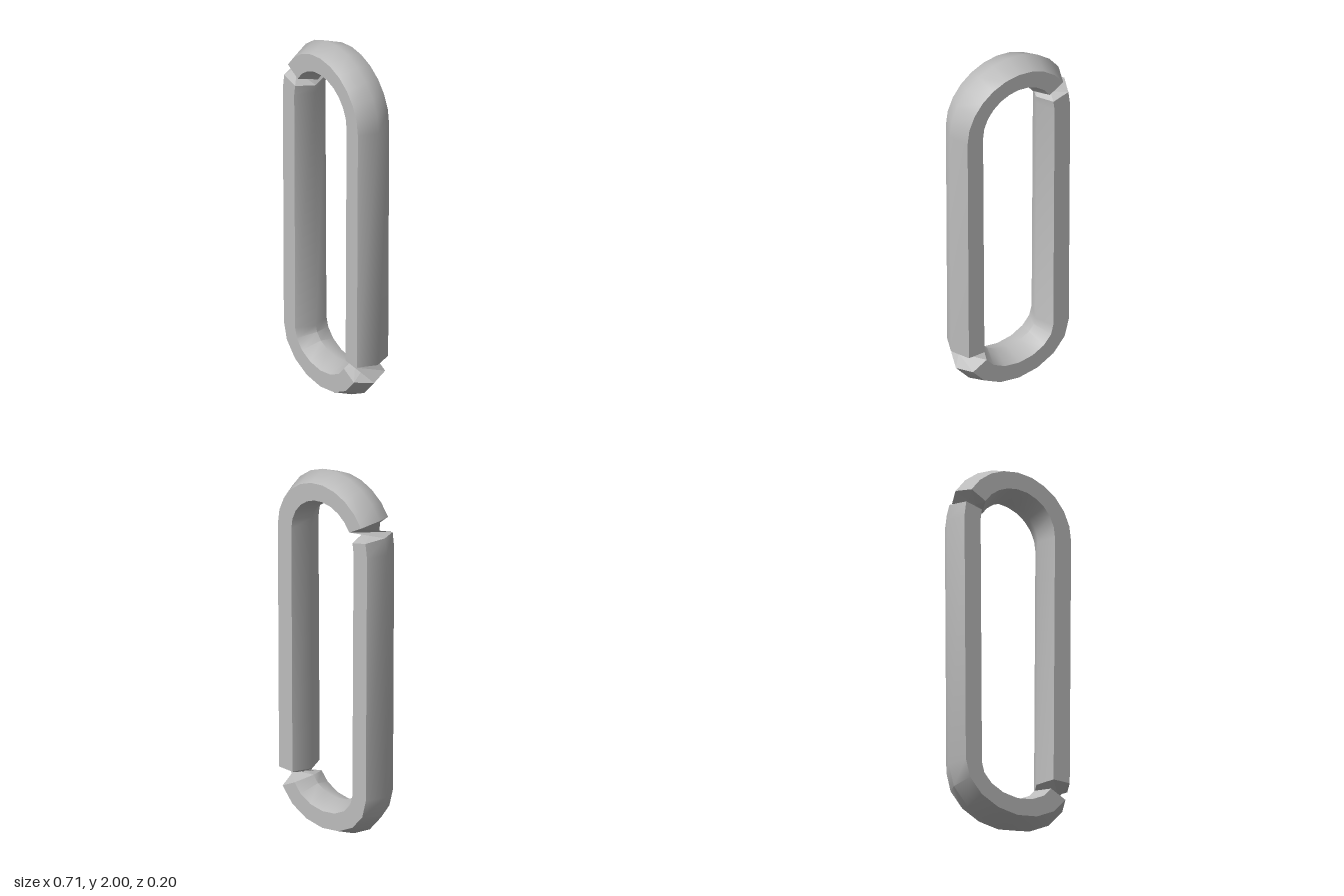
import * as THREE from 'three';
import { toCreasedNormals } from 'three/addons/utils/BufferGeometryUtils.js';

// Hexagonal bar section as [outward, z], starting at the outer ridge
const SECTION = [[0.09, 0], [0.047, 0.1], [-0.047, 0.1], [-0.09, 0], [-0.047, -0.1], [0.047, -0.1]];
const UP = { x: 0, y: 1.646, rx: 0.264, ry: 0.264 };
const LOW = { x: 0, y: 0.29, rx: 0.256, ry: 0.2 };

// Section ring placed square to an elliptical bend at the given angle
function ring(bend, degrees) {
  const t = THREE.MathUtils.degToRad(degrees);
  const c = Math.cos(t), s = Math.sin(t);
  const n = new THREE.Vector2(bend.ry * c, bend.rx * s).normalize();
  return SECTION.map(([o, z]) => new THREE.Vector3(
    bend.x + bend.rx * c + n.x * o, bend.y + bend.ry * s + n.y * o, z));
}

function arc(bend, from, to, step) {
  const rings = [];
  for (let a = from; a <= to + 0.01; a += step) rings.push(ring(bend, a));
  return rings;
}

// Skin between successive rings; twist shifts the corners of the earlier ring
function loft(rings, twist = 0) {
  const points = [];
  for (let k = 0; k < rings.length - 1; k++) {
    const e = rings[k], l = rings[k + 1];
    for (let i = 0; i < 6; i++) {
      const j = (i + 1) % 6;
      const e0 = e[(i + twist) % 6], e1 = e[(j + twist) % 6];
      points.push(e0, l[i], e1, l[i], l[j], e1);
    }
  }
  return new THREE.BufferGeometry().setFromPoints(points);
}

export function createModel() {
  const group = new THREE.Group();
  const steel = new THREE.MeshStandardMaterial({ color: 0xbcbcbc, side: THREE.DoubleSide });
  steel.name = 'steel grey';

  const add = (name, geometry, crease) => {
    const mesh = new THREE.Mesh(toCreasedNormals(geometry, crease), steel);
    mesh.name = name;
    group.add(mesh);
  };

  // Two hooked halves, running anticlockwise around the link
  const upper = [ring(LOW, 0), ...arc(UP, 0, 150, 15)];
  const lower = [...arc(UP, 165, 180, 15), ...arc(LOW, 180, 337.5, 22.5)];
  add('upperHook', loft(upper), 0.87);
  add('lowerHook', loft(lower), 0.87);

  // Pinched half-turn joints between the halves
  add('upperJoint', loft([upper[upper.length - 1], lower[0]], 3), 0.1);
  add('lowerJoint', loft([lower[lower.length - 1], upper[0]], 3), 0.1);

  return group;
}
